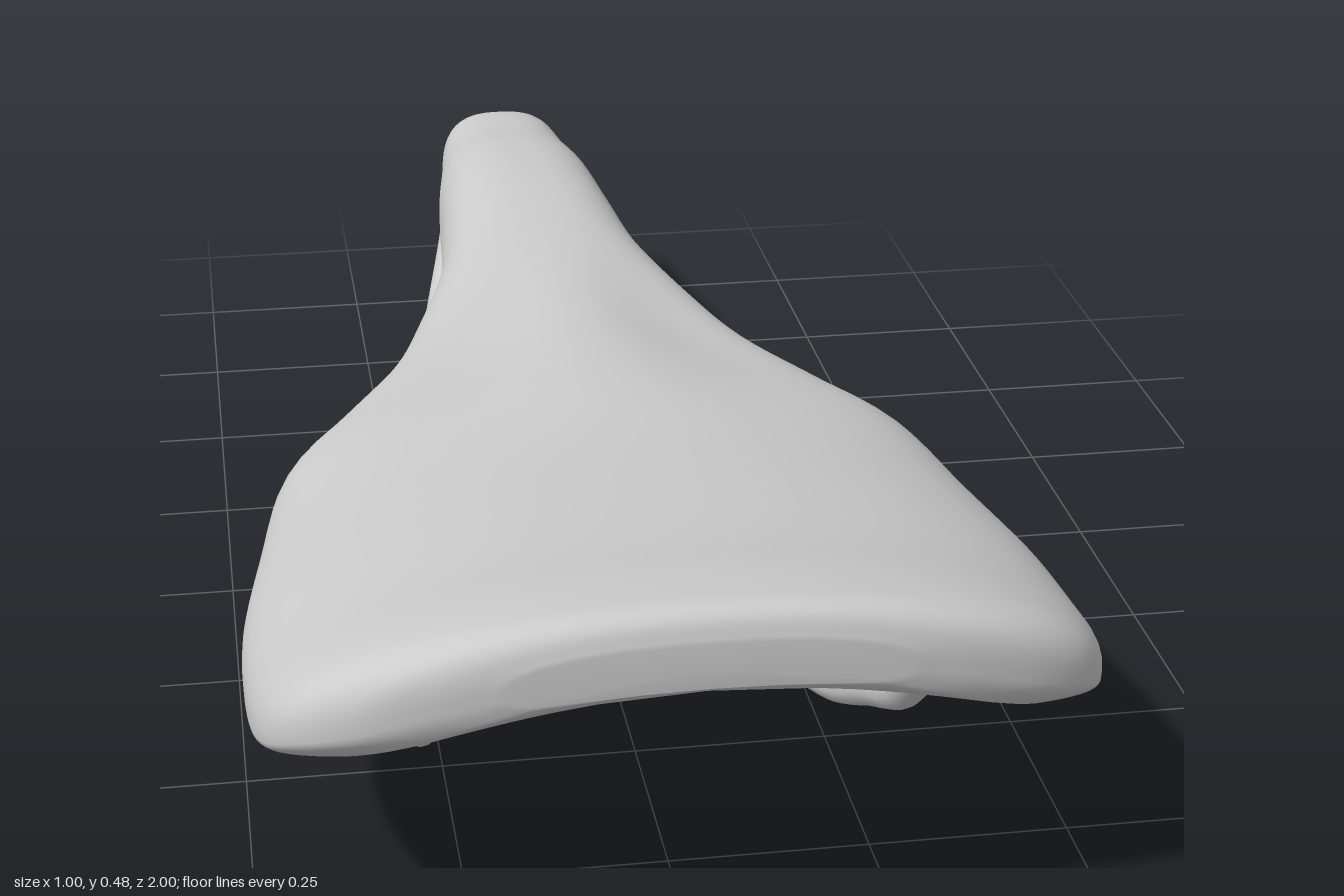
import * as THREE from 'three';

const material = new THREE.MeshStandardMaterial({ color: 0xcccccc, roughness: 0.7 });

// Saddle stations, nose to tail: z, half width, top y, widest y, rim y, underside arch
const STATIONS = [
  [-1.0, 0.045, 0.32, 0.27, 0.222, 0.015],
  [-0.987, 0.08, 0.345, 0.27, 0.207, 0.03],
  [-0.95, 0.097, 0.361, 0.27, 0.2, 0.04],
  [-0.85, 0.11, 0.37, 0.27, 0.207, 0.04],
  [-0.72, 0.127, 0.39, 0.27, 0.206, 0.03],
  [-0.55, 0.14, 0.397, 0.27, 0.192, 0.02],
  [-0.38, 0.162, 0.393, 0.26, 0.173, 0.015],
  [-0.2, 0.217, 0.39, 0.25, 0.165, 0.014],
  [-0.05, 0.272, 0.393, 0.25, 0.168, 0.014],
  [0.1, 0.362, 0.4, 0.25, 0.166, 0.014],
  [0.22, 0.432, 0.405, 0.25, 0.162, 0.018],
  [0.4, 0.467, 0.41, 0.25, 0.156, 0.03],
  [0.6, 0.495, 0.43, 0.26, 0.165, 0.05],
  [0.75, 0.497, 0.45, 0.275, 0.204, 0.06],
  [0.86, 0.485, 0.472, 0.3, 0.256, 0.07],
  [0.93, 0.452, 0.482, 0.335, 0.295, 0.07],
  [0.97, 0.39, 0.485, 0.36, 0.325, 0.05],
  [0.99, 0.31, 0.475, 0.39, 0.355, 0.035],
  [1.0, 0.22, 0.45, 0.41, 0.385, 0.01],
];

// Padded shell lofted through superellipse sections
function saddleGeometry(sides = 80, steps = 90) {
  const spline = (k) => new THREE.CatmullRomCurve3(
    STATIONS.map((s) => new THREE.Vector3(s[k], s[k + 1], s[k + 2])), false, 'catmullrom', 0.5);
  const outer = spline(0), inner = spline(3);
  const pos = [], index = [];

  for (let j = 0; j <= steps; j++) {
    const { x: z, y: w, z: top } = outer.getPoint(j / steps);
    const { x: mid, y: rim, z: arch } = inner.getPoint(j / steps);
    // squarer along the nose, rounder over the wings
    const upperPower = 2.7 - 0.55 * THREE.MathUtils.smoothstep(z, -0.4, 0.3);
    // soft hollows beside the central crest where the wings begin
    const hollow = 0.02 * Math.exp(-(((z - 0.05) / 0.25) ** 2));
    for (let i = 0; i < sides; i++) {
      const a = (i / sides) * Math.PI * 2;
      const c = Math.cos(a), s = Math.sin(a);
      const e = 2 / (s >= 0 ? upperPower : 4.5);
      const u = Math.sign(c) * Math.abs(c) ** e;
      const v = Math.abs(s) ** e;
      const y = s >= 0 ? mid + (top - mid) * v - hollow * Math.sin(Math.PI * u) ** 2
        : mid - (mid - rim) * v + arch * Math.max(0, 1 - (u / 0.85) ** 2);
      pos.push(w * u, y, z);
    }
  }
  for (let j = 0; j < steps; j++) {
    for (let i = 0; i < sides; i++) {
      const n = (i + 1) % sides;
      const a = j * sides + i, b = j * sides + n;
      index.push(a, b, b + sides, a, b + sides, a + sides);
    }
  }
  // nose and tail caps
  const last = steps * sides, nose = pos.length / 3, tail = nose + 1;
  pos.push(0, 0.28, -1, 0, 0.42, 1);
  for (let i = 0; i < sides; i++) {
    const n = (i + 1) % sides;
    index.push(nose, n, i, tail, last + i, last + n);
  }
  const g = new THREE.BufferGeometry();
  g.setAttribute('position', new THREE.Float32BufferAttribute(pos, 3));
  g.setIndex(index);
  g.computeVertexNormals();
  return g;
}

// Bent support rail, side = +1 left, -1 right
function rail(side) {
  const path = new THREE.CatmullRomCurve3([
    [0.297, 0.245, 0.755], [0.294, 0.19, 0.7], [0.283, 0.135, 0.6], [0.265, 0.077, 0.49],
    [0.24, 0.037, 0.34], [0.222, 0.029, 0.18], [0.207, 0.028, -0.05], [0.196, 0.029, -0.25],
    [0.179, 0.052, -0.43], [0.143, 0.115, -0.61], [0.1, 0.195, -0.78], [0.078, 0.245, -0.87],
  ].map(([x, y, z]) => new THREE.Vector3(side * x, y, z)));
  const mesh = new THREE.Mesh(new THREE.TubeGeometry(path, 80, 0.025, 16), material);
  mesh.name = side > 0 ? 'leftRail' : 'rightRail';
  return mesh;
}

export function createModel() {
  const model = new THREE.Group();
  model.name = 'bicycleSaddle';
  const shell = new THREE.Mesh(saddleGeometry(), material);
  shell.name = 'saddleShell';
  model.add(shell, rail(1), rail(-1));
  return model;
}
